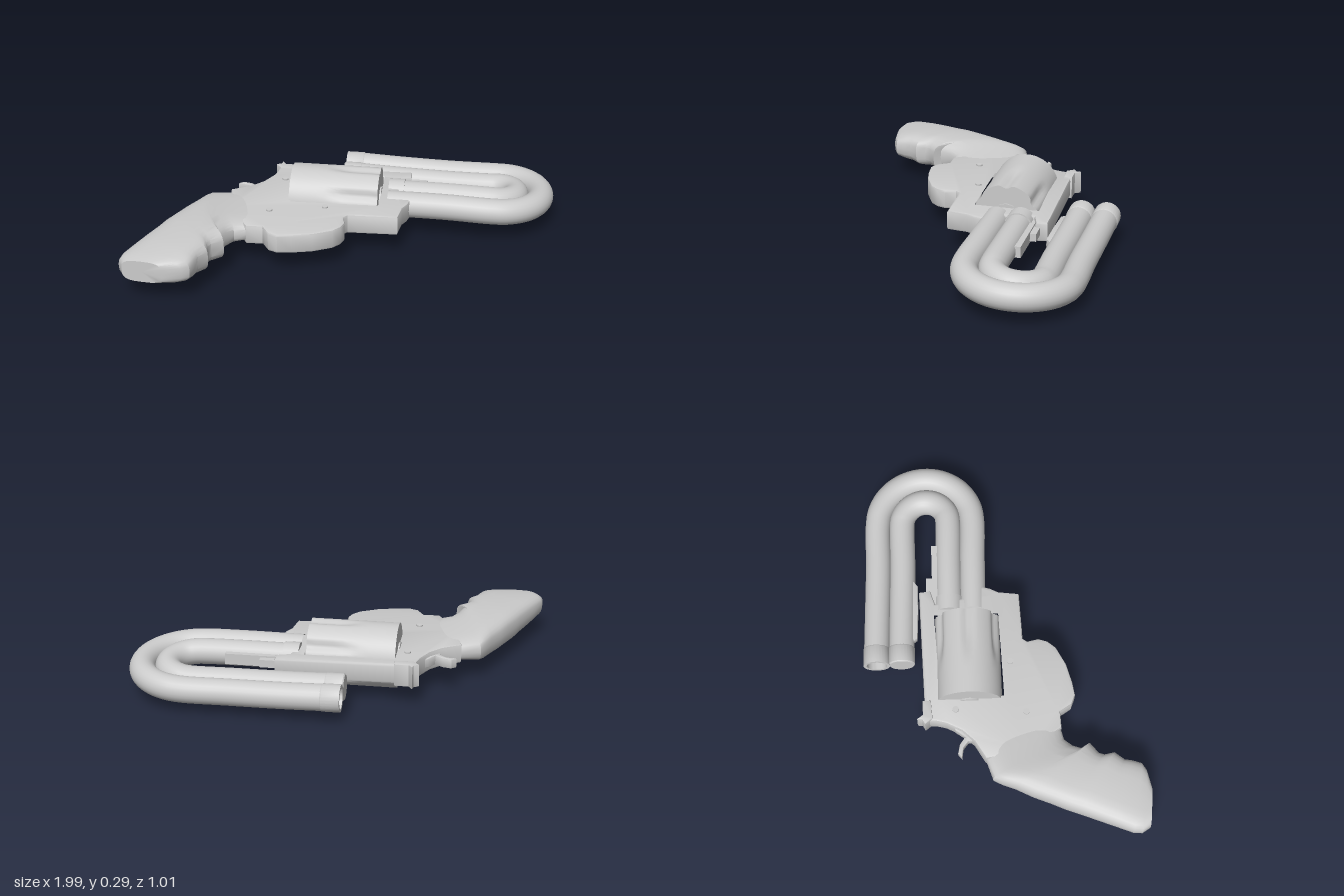
import * as THREE from 'three';
import { toCreasedNormals } from 'three/addons/utils/BufferGeometryUtils.js';

const MID = 0.147;     // height of the centre plane
const TILT = -0.314;   // turn of the barrel axis about y
const mat = new THREE.MeshStandardMaterial({ color: 0xcccccc });
const matDouble = new THREE.MeshStandardMaterial({ color: 0xcccccc, side: THREE.DoubleSide });

function add(parent, name, geo, x = 0, y = 0, z = 0, material = mat) {
  const m = new THREE.Mesh(geo, material);
  m.name = name;
  m.position.set(x, y, z);
  parent.add(m);
  return m;
}

// flat plate from an (x, z) outline, lying between y0 and y1
function slab(pts, y0, y1, bevel = 0.008, hole) {
  const v = (p) => p.map(([x, z]) => new THREE.Vector2(x, -z));
  const shape = new THREE.Shape(v(pts));
  if (hole) shape.holes.push(new THREE.Path(v(hole)));
  const geo = new THREE.ExtrudeGeometry(shape, {
    depth: y1 - y0 - 2 * bevel, bevelEnabled: bevel > 0, bevelThickness: bevel,
    bevelSize: bevel, bevelOffset: -bevel, bevelSegments: 2,
  });
  geo.rotateX(-Math.PI / 2).translate(0, y0 + bevel, 0);
  return toCreasedNormals(geo, 0.6);
}

// rounded-box cross-sections: [backX, backZ, frontX, frontZ, half thickness]
function loft(stations, n = 28) {
  const pos = [], idx = [];
  const soft = (c) => Math.sign(c) * Math.pow(Math.abs(c), 0.6);
  const [a, b] = [stations[0], stations[stations.length - 1]];
  const point = (s) => [(s[0] + s[2]) / 2, (s[1] + s[3]) / 2, (s[0] + s[2]) / 2, (s[1] + s[3]) / 2, 0];
  const rings = [point(a), ...stations, point(b)];
  rings.forEach(([bx, bz, fx, fz, h], i) => {
    for (let j = 0; j < n; j++) {
      const t = (j / n) * Math.PI * 2, c = soft(Math.cos(t)) / 2;
      pos.push((bx + fx) / 2 + (fx - bx) * c, MID + h * soft(Math.sin(t)), (bz + fz) / 2 + (fz - bz) * c);
      if (i < rings.length - 1) {
        const p = i * n + j, q = i * n + (j + 1) % n;
        idx.push(p, q, p + n, q, q + n, p + n);
      }
    }
  });
  const geo = new THREE.BufferGeometry();
  geo.setAttribute('position', new THREE.Float32BufferAttribute(pos, 3));
  geo.setIndex(idx);
  return toCreasedNormals(geo, 0.6);
}

// cylinder lying along local x
const rod = (r, len, seg = 24) => new THREE.CylinderGeometry(r, r, len, seg).rotateZ(-Math.PI / 2);

// drum with six flutes cut into its forward part
function flutedDrum(r, len) {
  const geo = new THREE.CylinderGeometry(r, r, len, 72, 10);
  const p = geo.attributes.position;
  for (let i = 0; i < p.count; i++) {
    const x = p.getX(i), y = p.getY(i), z = p.getZ(i);
    if (Math.hypot(x, z) < r * 0.5) continue;
    const groove = Math.max(0, Math.cos(6 * Math.atan2(z, x)) - 0.35);
    const k = 1 - 0.17 * groove * THREE.MathUtils.smoothstep(y / len, -0.15, 0.2);
    p.setX(i, x * k);
    p.setZ(i, z * k);
  }
  return toCreasedNormals(geo.rotateZ(-Math.PI / 2), 0.6);
}

// U-shaped path in the barrel's own frame
function bentPath(R) {
  const pts = [[-0.69, 0.12, -R - 0.012], [-0.45, 0.112, -R - 0.006], [-0.2, 0.108, -R]];
  for (let i = 0; i <= 10; i++) {
    const t = -Math.PI / 2 + (i / 10) * Math.PI;
    pts.push([R * Math.cos(t), 0.108 + 0.037 * i / 10, R * Math.sin(t)]);
  }
  pts.push([-0.2, 0.15, R * 0.98], [-0.46, 0.15, R * 0.96]);
  return new THREE.CatmullRomCurve3(pts.map((p) => new THREE.Vector3(...p)));
}

export function createModel() {
  const model = new THREE.Group();
  model.name = 'bentRevolver';

  // frame with solid guard and drum window
  const outline = [
    [-0.22, -0.33], [-0.14, -0.31], [0.37, -0.16], [0.36, -0.11], [0.29, -0.11], [0.27, 0.05],
    [0.31, 0.1], [0.28, 0.15], [0.25, 0.18], [0.21, 0.265], [0.05, 0.22], [0.0, 0.205], [-0.02, 0.22],
    [-0.025, 0.27], [-0.05, 0.305], [-0.09, 0.33], [-0.18, 0.345], [-0.27, 0.34], [-0.33, 0.33],
    [-0.365, 0.3], [-0.38, 0.24], [-0.45, 0.22], [-0.5, 0.03], [-0.47, -0.14], [-0.38, -0.16],
    [-0.315, -0.195], [-0.26, -0.25], [-0.235, -0.29],
  ];
  const windowHole = [[-0.15, -0.25], [0.25, -0.14], [0.155, 0.155], [-0.24, 0.04]];
  add(model, 'frame', slab(outline, 0.102, 0.192, 0.01, windowHole));

  // grip with finger notches
  add(model, 'grip', loft([
    [-0.38, -0.15, -0.39, 0.22, 0.04], [-0.47, -0.14, -0.45, 0.22, 0.05],
    [-0.56, -0.14, -0.5, 0.215, 0.06], [-0.59, -0.11, -0.54, 0.24, 0.068],
    [-0.63, -0.06, -0.57, 0.28, 0.074], [-0.69, 0.0, -0.555, 0.315, 0.077],
    [-0.74, 0.06, -0.61, 0.335, 0.078], [-0.79, 0.115, -0.625, 0.355, 0.078],
    [-0.83, 0.165, -0.63, 0.4, 0.076], [-0.88, 0.225, -0.675, 0.43, 0.073],
    [-0.93, 0.285, -0.69, 0.46, 0.069], [-0.985, 0.35, -0.715, 0.495, 0.06],
    [-1.0, 0.385, -0.75, 0.503, 0.055], [-0.99, 0.425, -0.83, 0.495, 0.048],
  ]));

  // hammer and rear sight
  add(model, 'hammer', slab([
    [-0.425, -0.235], [-0.4, -0.245], [-0.365, -0.225], [-0.34, -0.19], [-0.3, -0.22], [-0.26, -0.23],
    [-0.29, -0.16], [-0.37, -0.15], [-0.365, -0.185], [-0.385, -0.215],
  ], 0.125, 0.17, 0.005));
  add(model, 'rearSight', slab([
    [-0.235, -0.34], [-0.21, -0.345], [-0.2, -0.365], [-0.19, -0.335], [-0.13, -0.315], [-0.14, -0.28], [-0.22, -0.3],
  ], 0.095, 0.2, 0.004));

  // screws on both faces
  for (const [x, z] of [[-0.085, 0.115], [-0.33, 0.1], [-0.215, -0.19]])
    add(model, 'screw', new THREE.CylinderGeometry(0.014, 0.014, 0.104, 14), x, MID, z);

  // drum and its axle
  const drum = new THREE.Group();
  drum.name = 'drumAssembly';
  drum.position.set(-0.002, 0.15, -0.055);
  drum.rotation.y = TILT;
  model.add(drum);
  add(drum, 'drum', flutedDrum(0.145, 0.395));
  add(drum, 'axle', rod(0.03, 0.47));
  add(drum, 'ratchet', rod(0.06, 0.41, 12));
  add(drum, 'crane', rod(0.042, 0.08), 0.25, 0, 0.04);

  // doubled barrel bent back on itself
  const barrel = new THREE.Group();
  barrel.name = 'barrelAssembly';
  barrel.position.set(0.717, 0, -0.013);
  barrel.rotation.y = TILT;
  model.add(barrel);
  const muzzle = [[0.056, 0], [0.06, 0.006], [0.06, 0.085], [0.046, 0.085], [0.044, 0.0], [0, 0]]
    .map((p) => new THREE.Vector2(...p));
  const plug = [[0.056, 0], [0.06, 0.006], [0.06, 0.08], [0.055, 0.085], [0, 0.085]]
    .map((p) => new THREE.Vector2(...p));
  for (const [R, name, end] of [[0.22, 'outerTube', muzzle], [0.107, 'innerTube', plug]]) {
    add(barrel, name, new THREE.TubeGeometry(bentPath(R), 96, 0.058, 24), 0, 0, 0, matDouble);
    const cap = toCreasedNormals(new THREE.LatheGeometry(end, 28).rotateZ(Math.PI / 2), 0.6);
    add(barrel, name + 'End', cap, -0.615, 0.118, -R - 0.011, matDouble);
  }
  add(barrel, 'barrelSocket', rod(0.064, 0.07), -0.43, 0.15, 0.103);

  // ribs along the inside of the bend
  add(barrel, 'lowerRib', new THREE.BoxGeometry(0.32, 0.05, 0.035), -0.3, 0.15, 0.045);
  add(barrel, 'lowerRibStep', new THREE.BoxGeometry(0.14, 0.035, 0.05), -0.37, 0.15, 0.025);
  add(model, 'frontSight', slab([
    [0.16, -0.29], [0.18, -0.235], [0.3, -0.19], [0.42, -0.15], [0.45, -0.16], [0.43, -0.21], [0.2, -0.3],
  ], 0.1, 0.14, 0.004));
  return model;
}
